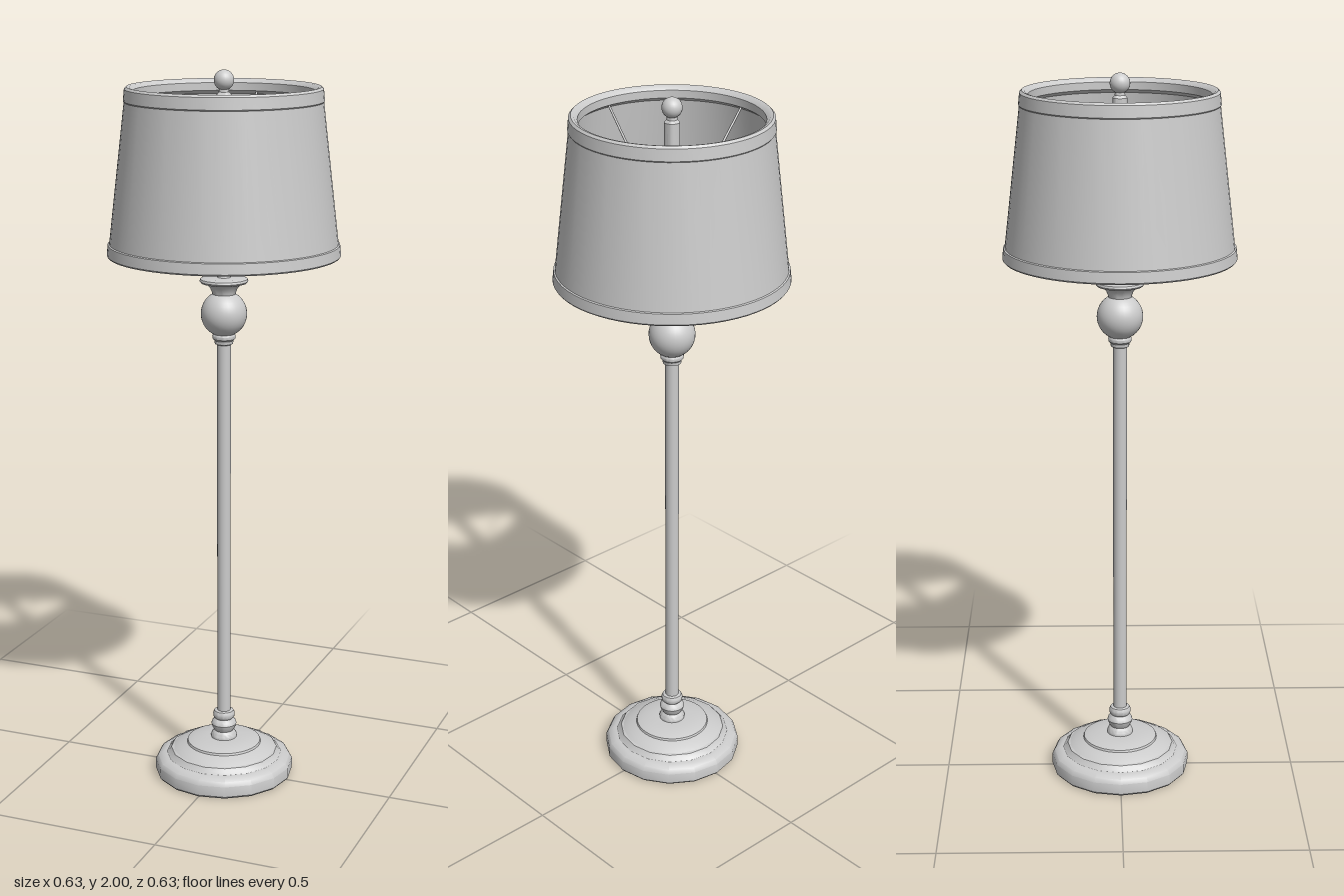
import * as THREE from 'three';
import { toCreasedNormals } from 'three/addons/utils/BufferGeometryUtils.js';

const material = new THREE.MeshStandardMaterial({ color: 0xcccccc });
const shadeMaterial = new THREE.MeshStandardMaterial({ color: 0xcccccc, side: THREE.DoubleSide });

function addMesh(group, name, geometry, mat = material) {
  const mesh = new THREE.Mesh(geometry, mat);
  mesh.name = name;
  group.add(mesh);
  return mesh;
}

// Turned part from [radius, height] pairs, listed bottom to top
function turned(group, name, profile, sides, mat) {
  const points = profile.map(([r, y]) => new THREE.Vector2(r, y));
  const geometry = toCreasedNormals(new THREE.LatheGeometry(points, sides), 0.6);
  return addMesh(group, name, geometry, mat);
}

// Thin rod between two points
function rod(group, name, from, to, rFrom, rTo) {
  const dir = to.clone().sub(from);
  const mesh = addMesh(group, name, new THREE.CylinderGeometry(rTo, rFrom, dir.length(), 8));
  mesh.position.copy(from).addScaledVector(dir, 0.5);
  mesh.quaternion.setFromUnitVectors(new THREE.Vector3(0, 1, 0), dir.normalize());
}

export function createModel() {
  const lamp = new THREE.Group();
  lamp.name = 'floorLamp';

  // Stepped foot: faceted lower tier, rounder upper tier
  turned(lamp, 'base', [
    [0, 0], [0.192, 0], [0.197, 0.006], [0.197, 0.036], [0.19, 0.048], [0.175, 0.056],
    [0.165, 0.057], [0.158, 0.063], [0.152, 0.072], [0.146, 0.074], [0, 0.078],
  ], 16);
  turned(lamp, 'baseTop', [
    [0.146, 0.073], [0.128, 0.083], [0.106, 0.09], [0.104, 0.096], [0.085, 0.102],
    [0.05, 0.105], [0, 0.105],
  ], 40);

  // Turned neck at the foot
  turned(lamp, 'lowerNeck', [
    [0.036, 0.1], [0.037, 0.112], [0.033, 0.12], [0.027, 0.126], [0.033, 0.136], [0.036, 0.146],
    [0.033, 0.155], [0.025, 0.162], [0.03, 0.168], [0.031, 0.178], [0.027, 0.186], [0.018, 0.188],
  ], 32);

  // Column
  addMesh(lamp, 'column', new THREE.CylinderGeometry(0.019, 0.019, 1.11, 24)).position.y = 0.735;

  // Collar, ball and flared cup at the top of the column
  turned(lamp, 'upperCollar', [
    [0.019, 1.262], [0.025, 1.265], [0.026, 1.274], [0.031, 1.279], [0.032, 1.287],
    [0.028, 1.295], [0.024, 1.3],
  ], 32);
  addMesh(lamp, 'ball', new THREE.SphereGeometry(0.063, 32, 20)).position.y = 1.348;
  turned(lamp, 'cup', [
    [0.03, 1.395], [0.033, 1.408], [0.038, 1.42], [0.047, 1.429], [0.062, 1.433],
    [0.066, 1.438], [0.064, 1.444], [0.05, 1.448], [0, 1.448],
  ], 32);

  // Stem rising through the shade, with finial
  turned(lamp, 'stem', [
    [0.019, 1.445], [0.015, 1.455], [0.016, 1.47], [0.021, 1.478], [0.022, 1.508],
    [0.02, 1.515], [0.02, 1.935], [0.014, 1.942], [0.012, 1.962],
  ], 24);
  addMesh(lamp, 'finial', new THREE.SphereGeometry(0.027, 24, 16)).position.y = 1.973;

  // Shade: thin tapered wall with raised bands and an inward top lip
  turned(lamp, 'shade', [
    [0.306, 1.51], [0.312, 1.508], [0.315, 1.512], [0.312, 1.54], [0.308, 1.542],
    [0.264, 1.917], [0.266, 1.92], [0.263, 1.951], [0.257, 1.957], [0.249, 1.955],
    [0.24, 1.946], [0.24, 1.925], [0.254, 1.915], [0.302, 1.535], [0.306, 1.51],
  ], 64, shadeMaterial);

  // Sloping supports inside the shade, with small lugs on the stem
  const fitter = new THREE.Group();
  fitter.name = 'shadeSupports';
  for (let i = 0; i < 4; i++) {
    const arm = new THREE.Group();
    arm.name = 'supportArm';
    rod(arm, 'supportRod', new THREE.Vector3(0.247, 1.925, 0), new THREE.Vector3(0.06, 1.69, 0), 0.003, 0.004);
    rod(arm, 'supportLug', new THREE.Vector3(0.01, 1.69, 0), new THREE.Vector3(0.04, 1.69, 0), 0.003, 0.003);
    arm.rotation.y = i * Math.PI / 2;
    fitter.add(arm);
  }
  lamp.add(fitter);

  return lamp;
}
